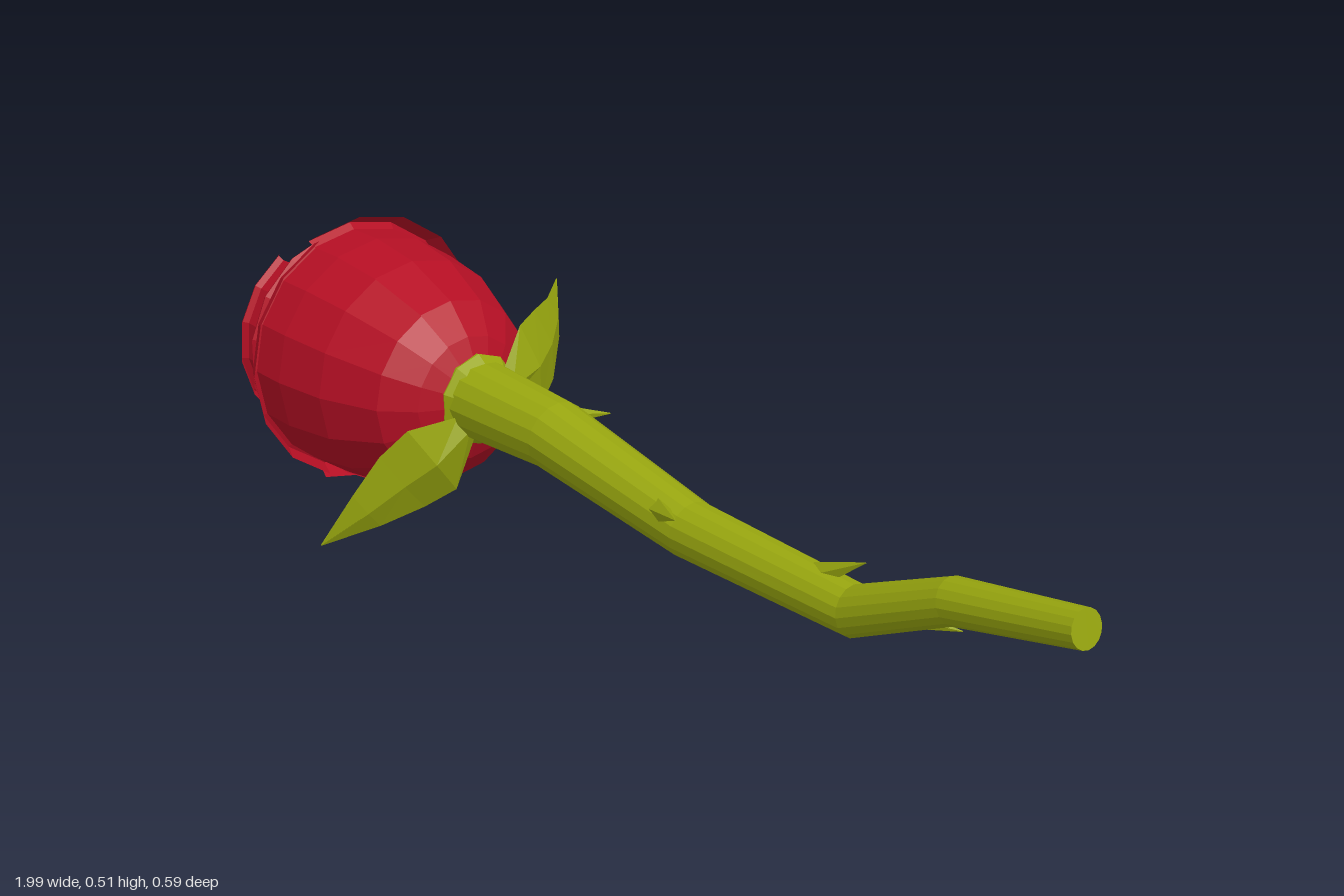
import * as THREE from 'three';

const V = (a) => new THREE.Vector3(...a);

const petalRed = new THREE.MeshStandardMaterial({ name: 'petalRed', color: 0xb50f24, flatShading: true, side: THREE.DoubleSide });
const stemGreen = new THREE.MeshStandardMaterial({ name: 'stemGreen', color: 0x98a60f, flatShading: true });

// Closed tube through points, with an elliptical ring (width along n, thickness across) at each
function loft(points, n, widths, thicks, sides) {
  const pts = points.map(V), pos = [], idx = [];
  pts.forEach((p, i) => {
    const t = pts[Math.min(i + 1, pts.length - 1)].clone().sub(pts[Math.max(i - 1, 0)]).normalize();
    const b = t.clone().cross(V(n)).normalize();
    const w = b.clone().cross(t);
    for (let j = 0; j < sides; j++) {
      const a = (j / sides) * Math.PI * 2;
      const q = p.clone().addScaledVector(w, Math.cos(a) * widths[i]).addScaledVector(b, Math.sin(a) * thicks[i]);
      pos.push(q.x, q.y, q.z);
    }
  });
  const last = (pts.length - 1) * sides;
  for (let i = 0; i < pts.length - 1; i++) {
    for (let j = 0; j < sides; j++) {
      const a = i * sides + j, b = i * sides + ((j + 1) % sides);
      idx.push(a, b, a + sides, b, b + sides, a + sides);
    }
  }
  for (let j = 1; j < sides - 1; j++) {
    idx.push(0, j + 1, j, last, last + j, last + j + 1);
  }
  const g = new THREE.BufferGeometry();
  g.setAttribute('position', new THREE.Float32BufferAttribute(pos, 3));
  g.setIndex(idx);
  g.computeVertexNormals();
  return g;
}

// Curved shell about the flower's axis; profile is [radius, x], angles in degrees (0 = front, 90 = up)
function petal(profile, from, to, shiftZ = 0) {
  const rad = Math.PI / 180;
  const g = new THREE.LatheGeometry(
    profile.map(([r, x]) => new THREE.Vector2(r, -x)),
    Math.max(3, Math.round((to - from) / 22.5)), from * rad, (to - from) * rad);
  return g.rotateZ(Math.PI / 2).translate(0, 0.255, shiftZ);
}

export function createModel() {
  const group = new THREE.Group();
  const add = (name, geometry, material) => {
    const m = new THREE.Mesh(geometry, material);
    m.name = name;
    group.add(m);
  };

  // Bent, tapering stem
  const radii = [0.072, 0.062, 0.05, 0.043, 0.038, 0.031];
  add('stem', loft([[-0.46, 0.258, 0], [-0.23, 0.258, 0], [0.13, 0.205, 0], [0.52, 0.203, 0],
    [0.73, 0.297, 0.002], [0.99, 0.35, 0.005]], [0, 1, 0], radii, radii, 16), stemGreen);

  // Thorns: base point inside the stem, then tip
  const thorns = [
    [[-0.3, 0.262, -0.045], [-0.21, 0.28, -0.1]],
    [[0.08, 0.232, 0.03], [0.17, 0.255, 0.07]],
    [[0.43, 0.23, -0.003], [0.53, 0.285, -0.008]],
    [[0.57, 0.21, -0.025], [0.68, 0.207, -0.07]],
  ];
  for (const t of thorns) add('thorn', loft(t, [0, 0.3, 1], [0.018, 0.001], [0.022, 0.001], 5), stemGreen);

  // Ring under the flower
  add('calyx', loft([[-0.43, 0.257, 0], [-0.455, 0.257, 0], [-0.475, 0.257, 0]], [0, 1, 0],
    [0.068, 0.085, 0.08], [0.065, 0.08, 0.078], 10), stemGreen);

  // Two large pointed sepals with a raised keel
  const widths = [0.03, 0.085, 0.075, 0.046, 0.001], thicks = [0.015, 0.02, 0.016, 0.01, 0.001];
  add('backSepal', loft([[-0.435, 0.275, -0.045], [-0.45, 0.295, -0.11], [-0.49, 0.31, -0.17],
    [-0.54, 0.335, -0.23], [-0.615, 0.375, -0.295]], [0, 0.95, 0.25], widths, thicks, 4), stemGreen);
  add('frontSepal', loft([[-0.435, 0.22, 0.045], [-0.445, 0.172, 0.112], [-0.47, 0.135, 0.16],
    [-0.495, 0.088, 0.22], [-0.532, 0.03, 0.294]], [0, -0.78, -0.62], widths, thicks, 4), stemGreen);

  // Two outer petals forming the cup, with rims curled back
  const cup = [[0.06, -0.45], [0.115, -0.475], [0.168, -0.525], [0.212, -0.64], [0.226, -0.75], [0.225, -0.825]];
  add('backOuterPetal', petal([...cup, [0.235, -0.838], [0.253, -0.805]], 67.5, 292.5, 0.008), petalRed);
  add('frontOuterPetal', petal([...cup, [0.232, -0.828], [0.246, -0.8]], -67.5, 67.5, 0.004), petalRed);

  // Inner petals: [name, radius, top x, start angle, end angle]
  const inner = [
    ['frontMiddlePetal', 0.205, -0.875, -80, 80],
    ['backMiddlePetal', 0.19, -0.825, 80, 280],
    ['frontInnerPetal', 0.178, -0.955, -52, 60],
    ['upperInnerPetal', 0.165, -0.9, 50, 150],
    ['lowerInnerPetal', 0.155, -0.9, 190, 300],
    ['backInnerPetal', 0.115, -0.955, 95, 260],
    ['frontBudPetal', 0.105, -0.995, -70, 85],
    ['backBudPetal', 0.06, -0.985, 80, 290],
    ['budCore', 0.04, -0.998, -60, 200],
  ];
  for (const [name, r, top, from, to] of inner) {
    add(name, petal([[r * 0.45, -0.6], [r * 0.88, -0.69], [r, top + 0.06], [r * 0.98, top + 0.01],
      [r + 0.005, top], [r + 0.014, top + 0.014]], from, to), petalRed);
  }
  // Floor that closes the heart of the flower
  add('flowerHeart', petal([[0, -0.8], [0.12, -0.78], [0.2, -0.76]], 0, 360), petalRed);

  return group;
}
